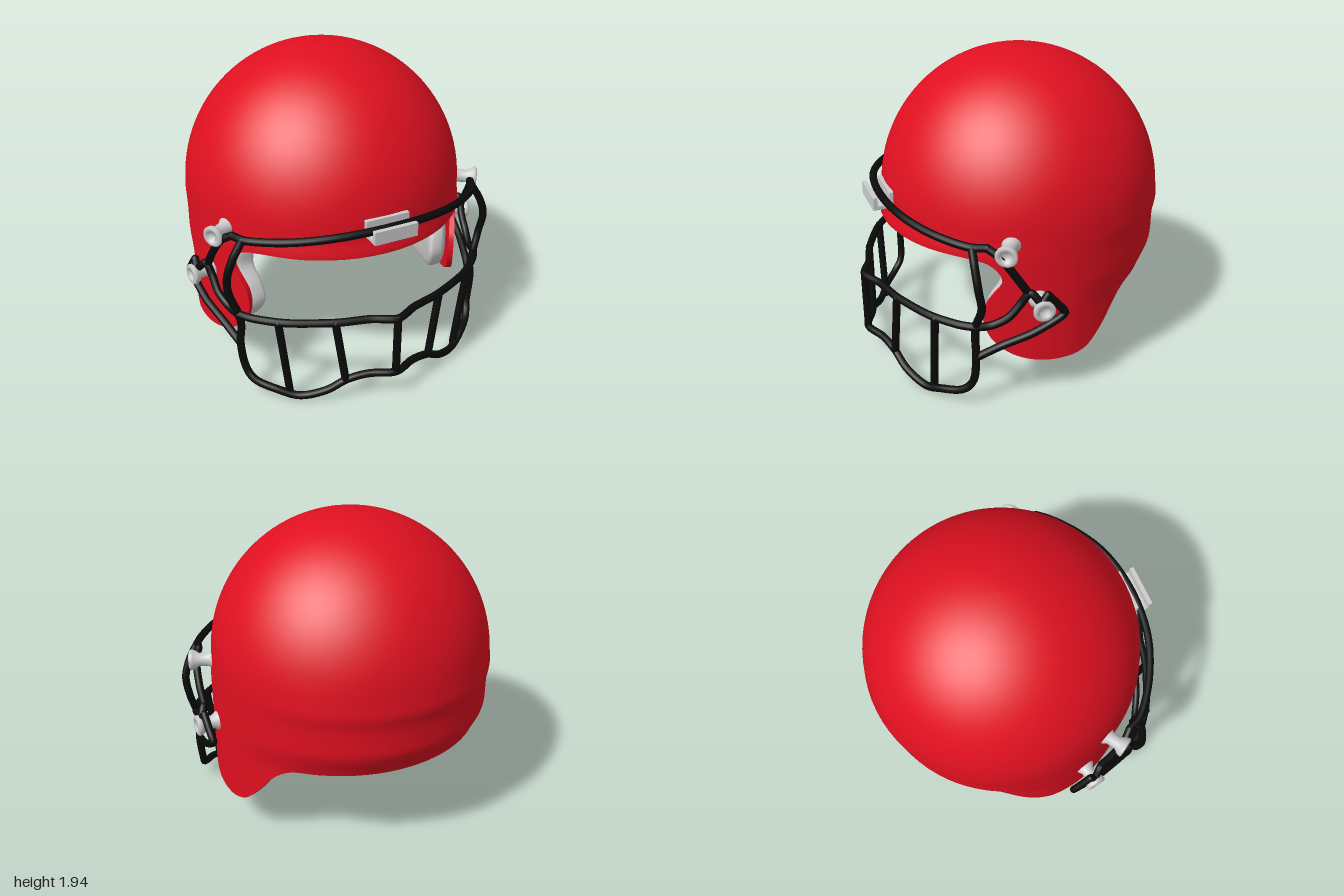
import * as THREE from 'three';
import { mergeGeometries } from 'three/addons/utils/BufferGeometryUtils.js';

const V = (x, y, z) => new THREE.Vector3(x, y, z);
const RAD = Math.PI / 180;
const { lerp, smoothstep } = THREE.MathUtils;
const SPRING = 1.05; // height where the dome starts
const CZ = -0.1;     // dome centre in z

const red = new THREE.MeshStandardMaterial({ color: 0xe01020, side: THREE.DoubleSide });
const grey = new THREE.MeshStandardMaterial({ color: 0xcccccc, side: THREE.DoubleSide });
const black = new THREE.MeshStandardMaterial({ color: 0x0a0a0a });

// Surface from a function of two indices; wrapU joins the last column to the first
function grid(nu, nv, wrapU, fn) {
  const pos = [], idx = [];
  const cols = wrapU ? nu : nu + 1;
  for (let i = 0; i < cols; i++)
    for (let j = 0; j <= nv; j++) pos.push(...fn(i / nu, j / nv).toArray());
  for (let i = 0; i < nu; i++)
    for (let j = 0; j < nv; j++) {
      const a = i * (nv + 1) + j, b = ((i + 1) % cols) * (nv + 1) + j;
      idx.push(a, b, b + 1, a, b + 1, a + 1);
    }
  const g = new THREE.BufferGeometry();
  g.setAttribute('position', new THREE.Float32BufferAttribute(pos, 3));
  g.setIndex(idx);
  g.computeVertexNormals();
  return g;
}

// Rim of the shell: angle from the front, height, angle reached at the dome
const rim = new THREE.CatmullRomCurve3([
  [0, 0.93, 0], [28, 0.93, 26], [50, 0.925, 47], [57, 0.9, 53], [61, 0.84, 58],
  [61.5, 0.77, 64], [58, 0.7, 69], [55, 0.62, 74], [54.5, 0.52, 78], [57, 0.42, 82],
  [63, 0.33, 86], [72, 0.27, 90], [84, 0.25, 94], [96, 0.28, 99], [103, 0.37, 104],
  [112, 0.52, 112], [120, 0.59, 120], [132, 0.6, 132], [156, 0.6, 156], [180, 0.6, 180],
].map(p => V(...p)));

// Point on the helmet wall, pushed inward by off
function wall(deg, y, off) {
  const c = Math.cos(deg * RAD), back = Math.max(0, -c), front = Math.max(0, c);
  const up = Math.min(1, Math.max(0, (y - SPRING) / 0.89));
  let r = 0.88 * Math.sqrt(1 - up * up);
  r += 0.012 * back * (Math.exp(-(((y - 1) / 0.06) ** 2)) - smoothstep(SPRING - y, 0, 0.1));
  r -= 0.09 * back * (1 - smoothstep(y, 0.55, 0.78));
  r += 0.02 * front * smoothstep(SPRING - y, 0, 0.12);
  r -= off;
  return V(r * Math.sin(deg * RAD), y, CZ + r * c);
}

function shellPoint(u, v, off) {
  const side = u <= 0.5 ? 1 : -1;
  const k = rim.getPoint(u <= 0.5 ? u * 2 : 2 - u * 2);
  if (v < 0.4) {
    const t = v / 0.4;
    return wall(side * lerp(k.x, k.z, 1 - (1 - t) ** 2), lerp(k.y, SPRING, t), off);
  }
  const e = (v - 0.4) / 0.6 * Math.PI / 2;
  const p = wall(side * k.z, SPRING + 0.89 * Math.sin(e), 0);
  const s = 1 - off / 0.88;
  return V(p.x * s, SPRING + (p.y - SPRING) * s, CZ + (p.z - CZ) * s);
}

// Rounded bar through points, with round ends
function bar(name, pts, r = 0.024, tension = 0.5) {
  const curve = new THREE.CatmullRomCurve3(pts.map(p => V(...p)), false, 'catmullrom', tension);
  const ends = [pts[0], pts[pts.length - 1]].map(p =>
    new THREE.SphereGeometry(r, 12, 8).translate(...p));
  const tube = new THREE.TubeGeometry(curve, pts.length * 8, r, 12);
  const m = new THREE.Mesh(mergeGeometries([tube, ...ends]), black);
  m.name = name;
  return m;
}
const flip = (pts, s) => pts.map(([x, y, z]) => [x * s, y, z]);
const across = half => [...flip(half.slice(1), -1).reverse(), ...half];

// Flared fastener with a dimple in its outer end
function spool(name, from, to) {
  const dir = to.clone().sub(from), L = dir.length();
  const prof = [[0, 0], [0.06, 0], [0.06, 0.02], [0.042, 0.05], [0.042, L - 0.06], [0.062, L - 0.03],
    [0.066, L - 0.01], [0.058, L], [0.034, L], [0.028, L - 0.025], [0, L - 0.025]];
  const m = new THREE.Mesh(new THREE.LatheGeometry(prof.map(p => new THREE.Vector2(...p)), 24), grey);
  m.position.copy(from);
  m.quaternion.setFromUnitVectors(V(0, 1, 0), dir.normalize());
  m.name = name;
  return m;
}

export function createModel() {
  const g = new THREE.Group();
  g.name = 'helmet';
  const add = (name, geo, mat) => {
    const m = new THREE.Mesh(geo, mat);
    m.name = name;
    g.add(m);
    return m;
  };

  // Shell: outside, inside and the rim between them
  const T = 0.035;
  add('shellOuter', grid(192, 50, true, (u, v) => shellPoint(u, v, 0)), red);
  add('shellInner', grid(192, 50, true, (u, v) => shellPoint(u, v, T)), red);
  add('shellRim', grid(192, 1, true, (u, v) => shellPoint(u, 0, T * (1 - v))), red);

  // Padding around the inside of the back
  add('backPad', grid(48, 24, false, (u, v) => {
    const e = Math.sin(Math.PI * u) ** 0.25, a = v * 2 * Math.PI;
    const sq = x => Math.sign(x) * Math.abs(x) ** 0.5;
    return wall(lerp(108, 252, u), 0.765 + 0.135 * e * sq(Math.sin(a)),
      T + 0.035 + 0.04 * e * sq(Math.cos(a)));
  }), grey);

  // Cheek pads: a cushion that follows the side wall
  const outline = new THREE.CatmullRomCurve3([
    [0.2, 0.93], [0.28, 0.86], [0.28, 0.74], [0.34, 0.62], [0.36, 0.5], [0.28, 0.37],
    [0.1, 0.3], [-0.1, 0.31], [-0.22, 0.41], [-0.23, 0.6], [-0.1, 0.75], [0.08, 0.88],
  ].map(([z, y]) => V(0, y, z)), true);
  const mid = V(0, 0.58, 0.08);

  for (const s of [1, -1]) {
    const side = s > 0 ? 'left' : 'right';
    add(side + 'CheekPad', grid(64, 24, true, (u, v) => {
      const a = v * Math.PI, c = Math.cos(a);
      const p = mid.clone().lerp(outline.getPoint(u), Math.sin(a) ** 0.6);
      const depth = T + 0.08 + 0.08 * Math.sign(c) * Math.abs(c) ** 0.5;
      p.x = s * (Math.sqrt(0.88 ** 2 - (p.z - CZ) ** 2) - depth);
      return p;
    }), grey);
    add(side + 'PadButton', new THREE.SphereGeometry(0.045, 16, 12), grey).position.set(s * 0.64, 0.72, 0.04);

    // Fasteners holding the guard to the shell
    g.add(spool(side + 'UpperFastener', V(s * 0.77, 1.03, 0.26), V(s * 0.91, 1.025, 0.35)));
    g.add(spool(side + 'LowerFastener', V(s * 0.84, 0.68, 0.12), V(s * 0.995, 0.675, 0.145)));

    // Side bars of the guard
    g.add(bar(side + 'UpperSideBar', flip([[0.81, 1.05, 0.42], [0.86, 1.0, 0.36],
      [0.89, 0.88, 0.28], [0.9, 0.77, 0.21]], s)));
    g.add(bar(side + 'MidSideBar', flip([[0.83, 0.565, 0.5], [0.85, 0.57, 0.41], [0.88, 0.62, 0.32],
      [0.89, 0.7, 0.25], [0.91, 0.77, 0.2], [0.95, 0.72, 0.15], [0.95, 0.76, 0.11]], s)));
    g.add(bar(side + 'HookBar', flip([[0.95, 0.76, 0.11], [0.955, 0.69, 0.05], [0.955, 0.62, 0],
      [0.94, 0.56, 0.08], [0.92, 0.5, 0.2], [0.87, 0.43, 0.36], [0.82, 0.35, 0.5]], s), 0.024, 0.3));

    // Uprights beside the middle
    g.add(bar(side + 'InnerUpright', flip([[0.35, 0.56, 0.835], [0.29, 0.15, 0.85]], s)));
    g.add(bar(side + 'OuterUpright', flip([[0.65, 0.56, 0.69], [0.585, 0.03, 0.69]], s)));
  }

  // Long bars of the guard
  g.add(bar('browBar', across([[0, 1.11, 0.82], [0.3, 1.1, 0.785], [0.55, 1.075, 0.68],
    [0.75, 1.055, 0.53], [0.81, 1.05, 0.42]])));
  g.add(bar('middleBar', across([[0, 0.565, 0.95], [0.15, 0.565, 0.885], [0.35, 0.565, 0.83],
    [0.6, 0.565, 0.715], [0.76, 0.565, 0.59], [0.83, 0.565, 0.5]]), 0.024, 0.4));
  g.add(bar('jawBar', across([[0, 0.175, 0.95], [0.15, 0.17, 0.89], [0.28, 0.14, 0.85],
    [0.4, 0.07, 0.81], [0.54, 0.024, 0.735], [0.66, 0.06, 0.66], [0.76, 0.1, 0.57],
    [0.8, 0.18, 0.51], [0.82, 0.35, 0.5], [0.81, 0.48, 0.5], [0.83, 0.58, 0.5],
    [0.87, 0.7, 0.48], [0.88, 0.83, 0.5], [0.84, 0.95, 0.505], [0.78, 1.05, 0.5]])));
  g.add(bar('centreUpright', [[0, 0.565, 0.95], [0, 0.175, 0.95]]));

  // Clip: a channel hooked around the brow bar
  const hook = new THREE.Shape([[0.77, 1.16], [0.77, 1.065], [0.89, 1.065], [0.89, 1.14], [0.87, 1.14],
    [0.87, 1.085], [0.79, 1.085], [0.79, 1.16]].map(p => new THREE.Vector2(...p)));
  const clip = new THREE.ExtrudeGeometry(hook, {
    depth: 0.27, bevelThickness: 0.006, bevelSize: 0.004, bevelSegments: 2,
  });
  clip.translate(0, 0, -0.135).rotateY(-Math.PI / 2);
  add('browClip', clip, grey);

  return g;
}
